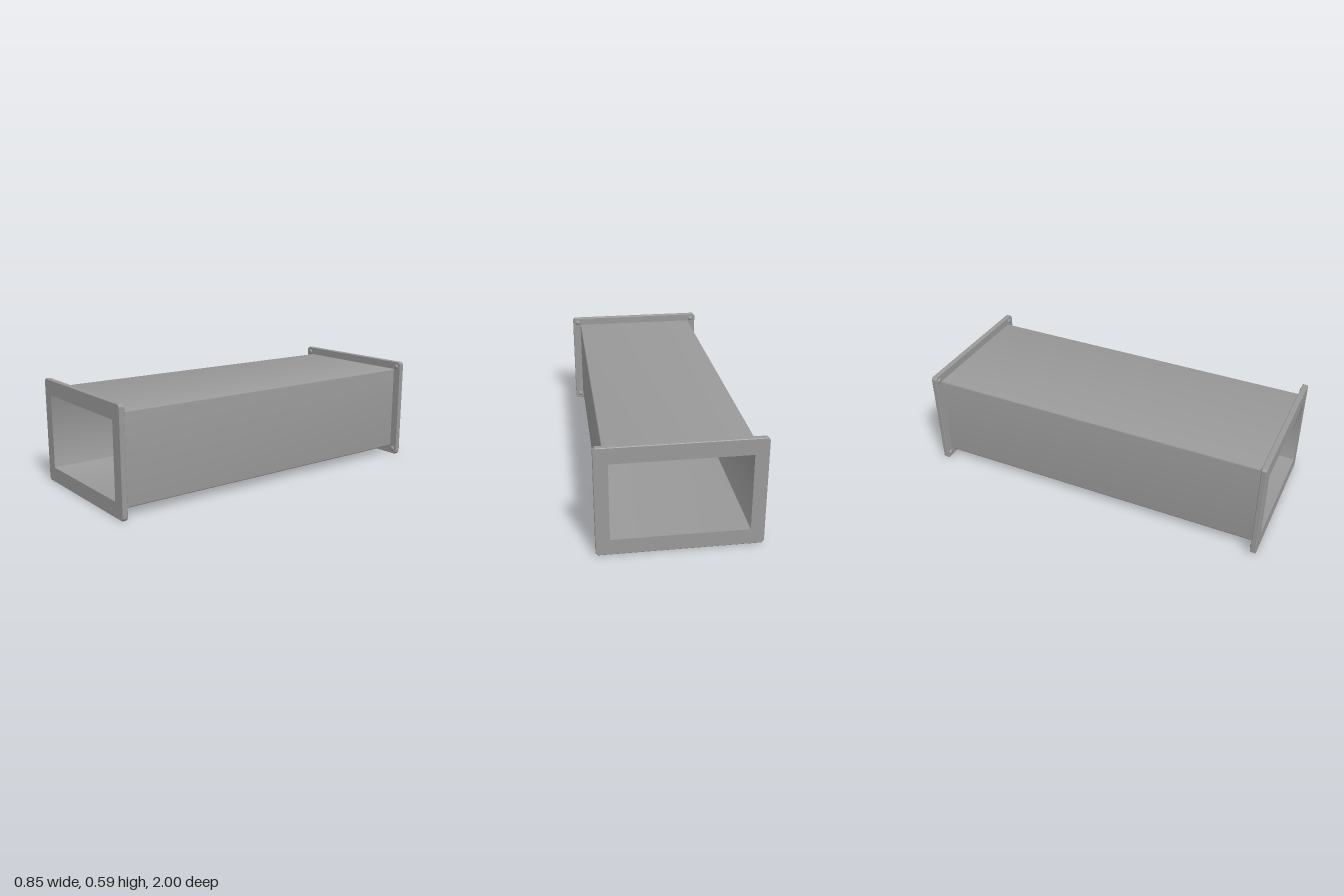
import * as THREE from 'three';
import { toCreasedNormals } from 'three/addons/utils/BufferGeometryUtils.js';

const material = new THREE.MeshStandardMaterial({ color: 0x999999 });
const CENTRE_Y = 0.295;

// Rectangle centred on the origin, its corners rounded or cut straight
function cornerRectangle(PathType, halfW, halfH, size, rounded) {
  const path = new PathType();
  const corners = [[1, -1], [1, 1], [-1, 1], [-1, -1]];
  corners.forEach(([sx, sy], i) => {
    const x = sx * halfW;
    const y = sy * halfH;
    const alongX = [x - sx * size, y];
    const alongY = [x, y - sy * size];
    const [from, to] = i % 2 ? [alongY, alongX] : [alongX, alongY];
    if (i === 0) path.moveTo(...from);
    else path.lineTo(...from);
    if (rounded) path.quadraticCurveTo(x, y, ...to);
    else path.lineTo(...to);
  });
  path.closePath();
  return path;
}

function addMesh(parent, name, geometry, x, y, z) {
  const mesh = new THREE.Mesh(geometry, material);
  mesh.name = name;
  mesh.position.set(x, y, z);
  parent.add(mesh);
}

export function createModel() {
  const model = new THREE.Group();
  model.name = 'rectangularDuct';

  // Hollow duct with softly rounded edges, running through both flanges
  const ductShape = cornerRectangle(THREE.Shape, 0.375, 0.249, 0.009, true);
  ductShape.holes.push(cornerRectangle(THREE.Path, 0.352, 0.2085, 0.004, true));
  const ductGeometry = toCreasedNormals(
    new THREE.ExtrudeGeometry(ductShape, { depth: 2, bevelEnabled: false, curveSegments: 4 }),
    0.7,
  );
  addMesh(model, 'duct', ductGeometry, 0, CENTRE_Y, -1);

  // Bevelled flange plate; its hole edge is covered by the duct wall
  const bevel = 0.003;
  const thickness = 0.03;
  const flangeShape = cornerRectangle(THREE.Shape, 0.424, 0.295, 0.013, false);
  flangeShape.holes.push(cornerRectangle(THREE.Path, 0.362, 0.225, 0.004, false));
  const flangeGeometry = new THREE.ExtrudeGeometry(flangeShape, {
    depth: thickness - 2 * bevel,
    bevelThickness: bevel,
    bevelSize: bevel,
    bevelOffset: -bevel,
    bevelSegments: 1,
  });
  flangeGeometry.translate(0, 0, bevel);

  // Low domed bolt head, pointing along +z
  const boltProfile = [[0.016, 0], [0.0145, 0.003], [0.011, 0.006], [0.006, 0.008], [0, 0.0085]];
  const boltGeometry = new THREE.LatheGeometry(boltProfile.map(([r, h]) => new THREE.Vector2(r, h)), 16);
  boltGeometry.rotateX(Math.PI / 2);

  // The same flange at each end, bolts on the side facing the duct
  for (const end of [1, -1]) {
    const assembly = new THREE.Group();
    assembly.name = end > 0 ? 'frontFlange' : 'backFlange';
    assembly.position.set(0, CENTRE_Y, end);
    if (end > 0) assembly.rotation.y = Math.PI;
    addMesh(assembly, 'flangePlate', flangeGeometry, 0, 0, 0);
    for (const sx of [-1, 1]) {
      for (const sy of [-1, 1]) {
        addMesh(assembly, 'bolt', boltGeometry, sx * 0.393, sy * 0.264, thickness);
      }
    }
    model.add(assembly);
  }
  return model;
}
